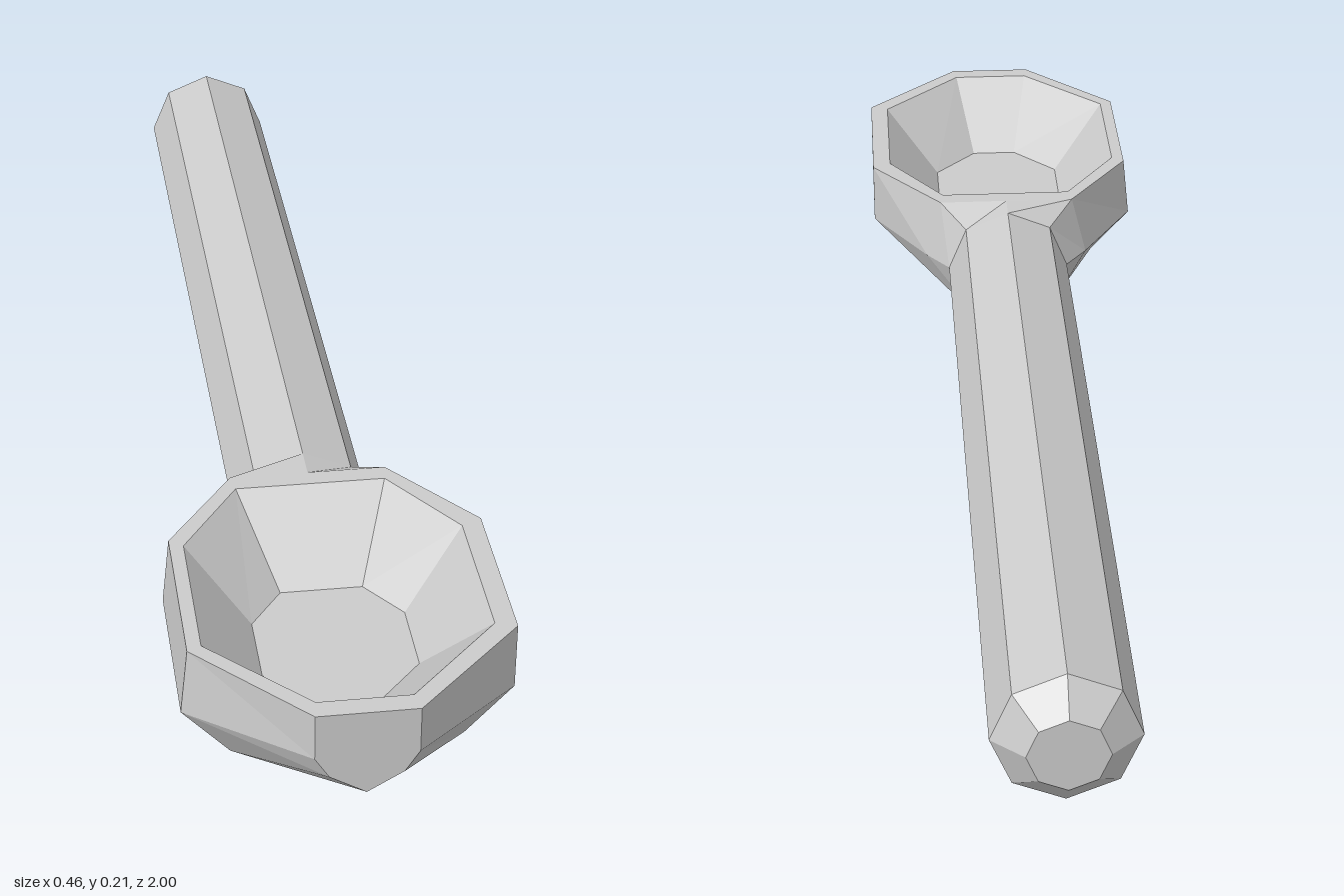
import * as THREE from 'three';

// Joins successive rings of points with quads; closed wraps each ring around.
function loft(out, rings, closed) {
  for (let i = 0; i + 1 < rings.length; i++) {
    const a = rings[i], b = rings[i + 1], n = a.length;
    for (let j = 0; j < (closed ? n : n - 1); j++) {
      const k = (j + 1) % n;
      out.push(a[j], a[k], b[k], a[j], b[k], b[j]);
    }
  }
}

// Fills a convex ring.
function fill(out, ring) {
  for (let j = 1; j + 1 < ring.length; j++) out.push(ring[0], ring[j], ring[j + 1]);
}

function makeMesh(name, points) {
  const geometry = new THREE.BufferGeometry();
  geometry.setAttribute('position', new THREE.Float32BufferAttribute(points.flat(), 3));
  geometry.computeVertexNormals();
  const mesh = new THREE.Mesh(geometry, new THREE.MeshStandardMaterial({ color: 0xcccccc, flatShading: true }));
  mesh.name = name;
  return mesh;
}

const TOP = 0.205, MID = 0.103;

// Octagonal handle section, starting at the top and running through -x.
function octagon(z, r) {
  return Array.from({ length: 8 }, (_, i) => {
    const a = i * Math.PI / 4;
    return [-r * Math.sin(a), MID + r * Math.cos(a), z];
  });
}

// Bowl section running from the left-hand rim under the belly to the other rim.
function section(z, [rimL, rimR], [midX, midY], [lowX, lowY], bottomY) {
  return [[-rimL, TOP, z], [-midX, midY, z], [-lowX, lowY, z], [0, bottomY, z],
    [lowX, lowY, z], [midX, midY, z], [rimR, TOP, z]];
}

// Level octagon of mirrored points, counter-clockwise from above.
function level(y, half) {
  return [...half.map(([x, z]) => [x, y, z]), ...half.map(([x, z]) => [-x, y, z]).reverse()];
}

export function createModel() {
  const group = new THREE.Group();

  const neck = section(0.43, [0.115, 0.115], [0.14, MID], [0.1, 0.03], 0);
  const bowl = [
    neck,
    section(0.58, [0.22, 0.23], [0.23, MID], [0.163, 0.03], 0),
    section(0.84, [0.22, 0.23], [0.23, MID], [0.163, 0.03], 0),
    section(1, [0.07, 0.07], [0.07, 0.135], [0.05, MID], 0.073),
  ];

  // Handle with a bevelled end, flaring into the neck of the bowl
  const handle = [];
  const end = octagon(-1, 0.057);
  fill(handle, [...end].reverse());
  loft(handle, [end, octagon(-0.96, MID), octagon(0.38, MID), [[0, TOP, 0.43], ...neck]], true);
  group.add(makeMesh('handle', handle));

  // Outer shell of the bowl with its blunt tip
  const shell = [];
  loft(shell, bowl, false);
  fill(shell, bowl[3]);
  group.add(makeMesh('bowlShell', shell));

  // Flat rim, sloping inner walls and floor
  const outer = [...bowl.map(s => s[6]).reverse(), ...bowl.map(s => s[0])];
  const inner = level(TOP, [[0.065, 0.97], [0.2, 0.83], [0.2, 0.595], [0.11, 0.46]]);
  const floor = level(0.1, [[0.038, 0.85], [0.11, 0.77], [0.11, 0.65], [0.06, 0.58]]);
  const hollow = [];
  loft(hollow, [outer, inner, floor], true);
  fill(hollow, floor);
  group.add(makeMesh('bowlHollow', hollow));

  return group;
}
